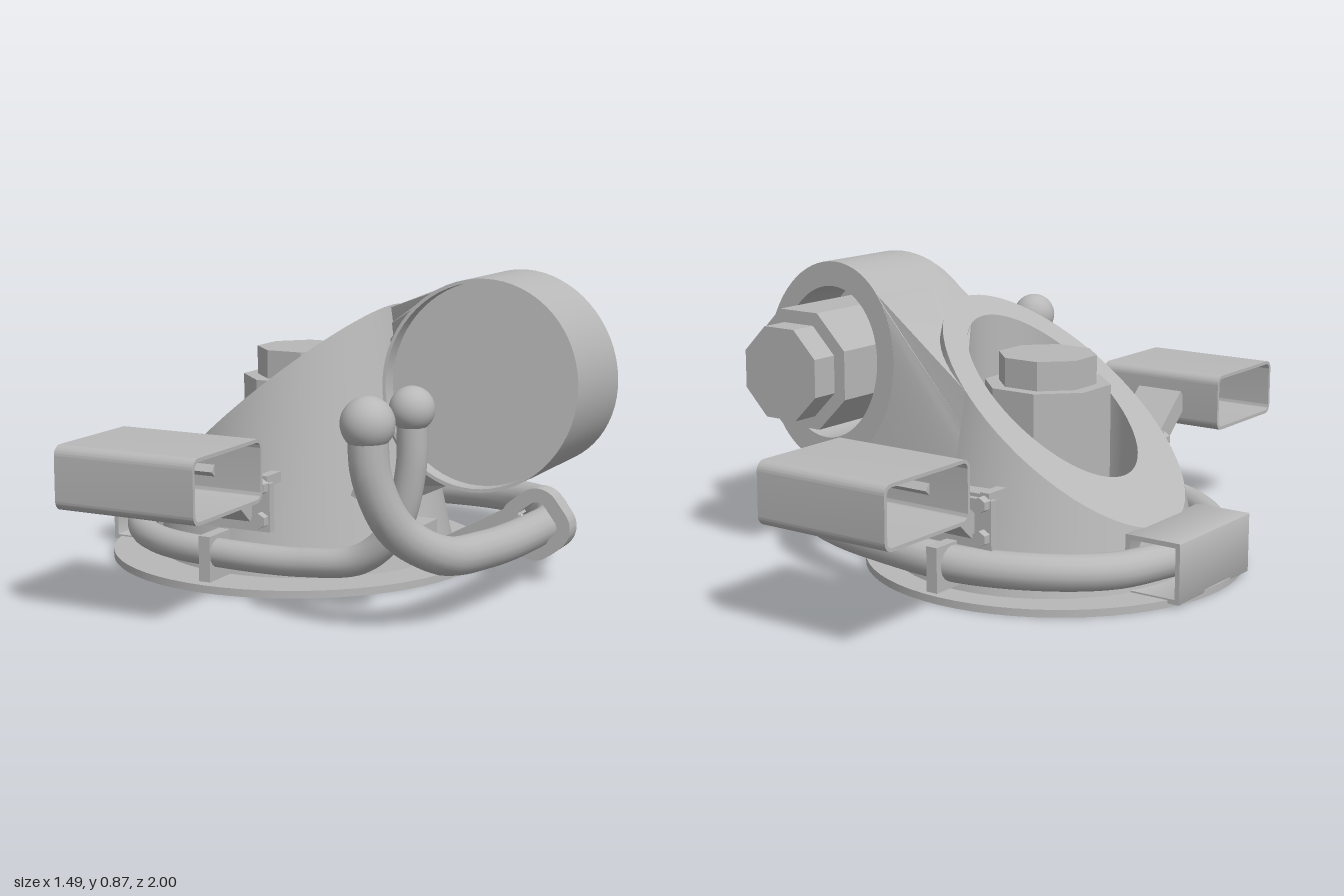
import * as THREE from 'three';
import { toCreasedNormals } from 'three/addons/utils/BufferGeometryUtils.js';

const CX = -0.18; // axis of the cone and its fittings

export function createModel() {
  const model = new THREE.Group();
  const grey = new THREE.MeshStandardMaterial({ color: 0xb8b8b8, side: THREE.DoubleSide });
  grey.name = 'plain grey';

  const add = (name, geometry, x = 0, y = 0, z = 0, parent = model) => {
    const mesh = new THREE.Mesh(geometry, grey);
    mesh.name = name;
    mesh.position.set(x, y, z);
    parent.add(mesh);
    return mesh;
  };
  const box = (name, w, h, d, x, y, z, parent) => add(name, new THREE.BoxGeometry(w, h, d), x, y, z, parent);

  // Skin closed rings of equal length, keeping hard edges
  const loft = (rings) => {
    const n = rings[0].length, index = [];
    for (let r = 0; r < rings.length - 1; r++) {
      for (let j = 0; j < n; j++) {
        const a = r * n + j, b = r * n + (j + 1) % n;
        index.push(a, a + n, b, b, a + n, b + n);
      }
    }
    const g = new THREE.BufferGeometry();
    g.setAttribute('position', new THREE.Float32BufferAttribute(rings.flat(2), 3));
    g.setIndex(index);
    return toCreasedNormals(g, 0.5);
  };
  const ring = (f, n = 64) => Array.from({ length: n }, (_, i) => f((i / n) * Math.PI * 2));
  const rad = THREE.MathUtils.degToRad;

  // Cone body, cut by a sloping plane, with a vertical well
  const slope = 0.83;
  const planeY = (x) => 0.19 + slope * (x + 0.58);
  const coneR = (y) => 0.455 - 0.21 * y;
  const cone = (a, y) => [CX + coneR(y) * Math.cos(a), y, coneR(y) * Math.sin(a)];
  const cutY = (a) => (planeY(CX) + slope * 0.455 * Math.cos(a)) / (1 + slope * 0.21 * Math.cos(a));
  const well = (a, r, y) => {
    const x = -0.2 + r * Math.cos(a);
    return [x, y ?? planeY(x), r * Math.sin(a)];
  };
  add('coneBody', loft([
    ring((a) => cone(a, 0.015)),
    ring((a) => cone(a, cutY(a))),
    ring((a) => well(a, 0.25)),
    ring((a) => well(a, 0.25, 0.2)),
    ring((a) => well(a, 0.001, 0.2)),
  ]));
  add('basePlate', toCreasedNormals(new THREE.CylinderGeometry(0.563, 0.563, 0.022, 64), 0.5), -0.188, 0.011, 0.03);

  // Sideways drum: shallow recess in front, open socket behind
  const DX = 0.445, DY = 0.567;
  const frontZ = (y) => 0.1 + (0.87 - y) * 0.13;
  const backZ = (x, y) => -0.21 + 0.2 * (x - DX) - (0.87 - y) * 0.14;
  const drum = (a, r, zf) => {
    const x = DX + r * Math.cos(a), y = DY + r * Math.sin(a);
    return [x, y, zf(x, y)];
  };
  const front = (x, y) => frontZ(y);
  const recess = (x, y) => frontZ(y) - 0.05;
  add('drum', loft([
    ring((a) => drum(a, 0.001, recess)),
    ring((a) => drum(a, 0.288, recess)),
    ring((a) => drum(a, 0.288, front)),
    ring((a) => drum(a, 0.298, front)),
    ring((a) => drum(a, 0.298, backZ)),
    ring((a) => drum(a, 0.225, backZ)),
    ring((a) => drum(a, 0.225, () => 0)),
    ring((a) => drum(a, 0.001, () => 0)),
  ]));

  // Neck joining the cone to the drum
  const neckCone = [], neckDrum = [], tangent = rad(-82);
  const arc = (from, to, n, zf, conePoint) => {
    for (let i = 0; i < n; i++) {
      const t = i / (n - 1);
      neckDrum.push(drum(rad(from + (to - from) * t), 0.297, zf));
      neckCone.push(conePoint(t));
    }
  };
  arc(185, 106, 6, front, (t) => [0.1, 0.5 + 0.254 * t, 0.01]);
  arc(106, 255, 16, backZ, (t) => cone(tangent, cutY(tangent) * (1 - t) + 0.1 * t));
  arc(255, 185, 6, front, (t) => [0.1, 0.15 + 0.35 * t, 0.01]);
  add('neck', loft([neckCone, neckDrum]));

  // Eight-sided bolts, one upright and one through the drum
  const octagon = (r, h) => new THREE.CylinderGeometry(r, r, h, 8).rotateY(Math.PI / 8).toNonIndexed();
  const bolt = (name, length) => {
    const g = new THREE.Group();
    g.name = name;
    const shank = octagon(0.188, length), head = octagon(0.146, 0.085);
    shank.computeVertexNormals();
    head.computeVertexNormals();
    add('boltShank', shank, 0, length / 2, 0, g);
    add('boltHead', head, 0, length + 0.0425, 0, g);
    model.add(g);
    return g;
  };
  bolt('uprightBolt', 0.34).position.set(CX, 0.2, 0);
  const sideBolt = bolt('sideBolt', 0.39);
  sideBolt.rotation.x = -Math.PI / 2;
  sideBolt.position.set(0.438, 0.567, 0);

  // Bent pipes ending in balls
  const pipe = (name, r, ballR, points) => {
    const path = new THREE.CatmullRomCurve3(points.map((p) => new THREE.Vector3(...p)));
    add(name, new THREE.TubeGeometry(path, 100, r, 16));
    add(name + 'Ball', new THREE.SphereGeometry(ballR, 28, 18), ...points[0]);
  };
  pipe('shortPipe', 0.041, 0.061, [
    [0.44, 0.565, 0.56], [0.435, 0.4, 0.555], [0.39, 0.24, 0.555], [0.29, 0.145, 0.555], [0.12, 0.115, 0.555],
    [-0.18, 0.11, 0.55], [-0.38, 0.105, 0.49], [-0.53, 0.1, 0.37], [-0.62, 0.1, 0.23], [-0.65, 0.1, 0.05],
  ]);
  pipe('longPipe', 0.052, 0.07, [
    [0.44, 0.567, 0.818], [0.447, 0.43, 0.81], [0.485, 0.29, 0.75], [0.55, 0.2, 0.62], [0.585, 0.17, 0.4],
    [0.595, 0.155, 0.1], [0.57, 0.145, -0.14], [0.46, 0.14, -0.33], [0.28, 0.13, -0.44], [0.03, 0.12, -0.485],
    [-0.22, 0.11, -0.48], [-0.44, 0.105, -0.39], [-0.58, 0.1, -0.25], [-0.65, 0.1, -0.05],
  ]);

  // Rounded rectangular frame, extruded
  const roundRect = (path, w, h, r) => {
    const x = w / 2 - r, y = h / 2 - r;
    path.absarc(x, y, r, 0, Math.PI / 2);
    path.absarc(-x, y, r, Math.PI / 2, Math.PI);
    path.absarc(-x, -y, r, Math.PI, Math.PI * 1.5);
    path.absarc(x, -y, r, Math.PI * 1.5, Math.PI * 2);
    path.closePath();
    return path;
  };
  const frame = (w, h, r, wall, depth) => {
    const shape = roundRect(new THREE.Shape(), w, h, r);
    shape.holes.push(roundRect(new THREE.Path(), w - 2 * wall, h - 2 * wall, Math.max(r - wall, 0.002)));
    const g = new THREE.ExtrudeGeometry(shape, { depth, bevelEnabled: false, curveSegments: 6 });
    return toCreasedNormals(g.translate(0, 0, -depth / 2), 0.6);
  };

  // Hollow end housing for the pipes
  add('pipeHousing', frame(0.175, 0.175, 0.003, 0.014, 0.39), -0.658, 0.1, 0.012);

  // Pedals on both sides, each with an arm and a bolted bracket
  for (const s of [1, -1]) {
    const side = new THREE.Group();
    side.name = s > 0 ? 'frontPedal' : 'backPedal';
    model.add(side);
    add('pedalSleeve', frame(0.35, 0.175, 0.028, 0.01, 0.425).rotateY(Math.PI / 2), -0.172, 0.383, s * 0.825, side);
    const arm = box('pedalArm', 0.155, 0.06, 0.27, CX, 0.3, s * 0.555, side);
    arm.rotation.x = -s * 0.72;
    box('bracketPlate', 0.27, 0.14, 0.025, CX, 0.23, s * 0.45, side);
    box('bracketBlock', 0.19, 0.12, 0.09, CX, 0.25, s * 0.4, side);
    for (const dx of [-0.11, 0.11]) {
      box('bracketRib', 0.03, 0.03, 0.08, CX + dx, 0.305, s * 0.42, side);
      for (const y of [0.195, 0.29]) {
        const nut = new THREE.CylinderGeometry(0.023, 0.023, 0.03, 6).rotateX(Math.PI / 2);
        add('bracketNut', toCreasedNormals(nut, 0.5), CX + dx, y, s * 0.472, side);
      }
    }
  }

  // Clips and struts holding the pipes
  box('frontClip', 0.036, 0.13, 0.11, CX, 0.098, 0.54);
  box('backClip', 0.036, 0.13, 0.13, CX, 0.105, -0.49);
  const sideClip = add('sideClip', frame(0.19, 0.19, 0.07, 0.04, 0.055), 0.597, 0.17, 0.045);
  sideClip.rotation.z = 0.65;
  const strut = box('sideStrut', 0.34, 0.035, 0.055, 0.39, 0.125, 0.045);
  strut.rotation.z = 0.5;
  box('sideTab', 0.09, 0.05, 0.17, 0.265, 0.14, 0.195);
  const fin = box('coneFin', 0.035, 0.055, 0.05, 0.14, 0.265, 0.25);
  fin.rotation.z = -0.4;

  return model;
}
